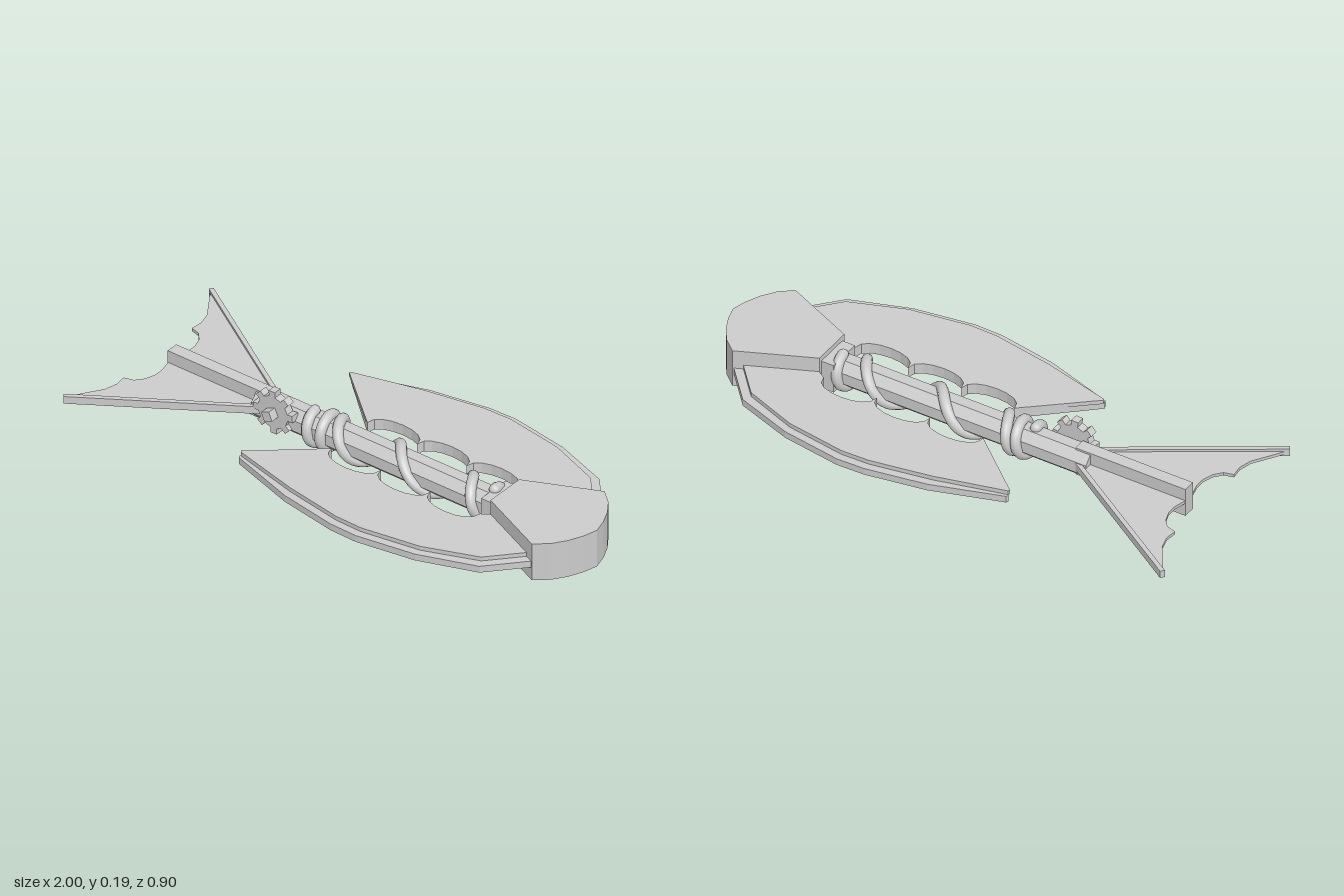
import * as THREE from 'three';

const material = new THREE.MeshStandardMaterial({ color: 0xcccccc, flatShading: true });
const smooth = new THREE.MeshStandardMaterial({ color: 0xcccccc });
const AXIS_Y = 0.08;

function add(parent, name, geometry, mat = material) {
  const mesh = new THREE.Mesh(geometry, mat);
  mesh.name = name;
  parent.add(mesh);
  return mesh;
}

function box(parent, name, x0, x1, y0, y1, halfZ) {
  const mesh = add(parent, name, new THREE.BoxGeometry(x1 - x0, y1 - y0, 2 * halfZ));
  mesh.position.set((x0 + x1) / 2, (y0 + y1) / 2, 0);
}

// Horizontal plate from [x, z] outline points, mirrored across the shaft when side is -1
function plate(parent, name, points, y0, y1, side = 1) {
  const shape = new THREE.Shape(points.map(([x, z]) => new THREE.Vector2(x, z * side)));
  const geometry = new THREE.ExtrudeGeometry(shape, { depth: y1 - y0, bevelEnabled: false });
  geometry.rotateX(Math.PI / 2).translate(0, y1, 0);
  add(parent, name, geometry);
}

// Blade outline: curved outer edge, scalloped inner edge
function bladeOutline(inset) {
  const outer = [[-0.305, 0.32], [-0.04, 0.405], [0.19, 0.445], [0.3, 0.448], [0.53, 0.412], [0.75, 0.335], [0.88, 0.19]];
  const points = [[-0.31, 0.31 - inset * 0.3]];
  outer.forEach(([x, z], i) => points.push([x - (i > 4 ? inset * 0.5 : 0), z - inset * (i ? 1 : 0.4)]));
  points.push([0.62, 0.07], [0.6, 0.08]);
  const steps = 8, width = 0.215;
  for (let s = 2; s >= 0; s--) {
    for (let i = s === 2 ? 0 : 1; i <= steps; i++) {
      const a = (Math.PI * i) / steps;
      points.push([-0.075 + width * (s + 0.5 + 0.5 * Math.cos(a)), 0.1 + 0.062 * Math.sin(a) ** 0.8]);
    }
  }
  return points;
}

// Path of the wrapped cord, tight near the gear and loose along the shaft
class CordCurve extends THREE.Curve {
  getPoint(t, target = new THREE.Vector3()) {
    const keys = [-0.225, -0.165, -0.115, 0.15, 0.46, 0.555];
    const turn = t * 5;
    const k = Math.min(4, Math.floor(turn));
    const f = turn - k;
    // Hermite spacing keeps the pitch changing gradually
    const slope = (i) => (keys[Math.min(5, i + 1)] - keys[Math.max(0, i - 1)]) / 2;
    const x = (2 * f ** 3 - 3 * f * f + 1) * keys[k] + (f ** 3 - 2 * f * f + f) * slope(k)
      + (3 * f * f - 2 * f ** 3) * keys[k + 1] + (f ** 3 - f * f) * slope(k + 1);
    const a = turn * Math.PI * 2;
    return target.set(x, AXIS_Y + 0.058 * Math.cos(a), 0.058 * Math.sin(a));
  }
}

export function createModel() {
  const model = new THREE.Group();
  model.name = 'bladedStaff';

  // Wedge-shaped head with a rounded nose
  const half = [[0.6, 0.08], [0.875, 0.203], [0.925, 0.16], [0.96, 0.11], [0.985, 0.055]];
  const head = [...half, [1, 0], ...half.slice().reverse().map(([x, z]) => [x, -z])];
  plate(model, 'head', head, 0.005, 0.155);

  // Eight-sided shaft, collar and rear bar
  const shaft = new THREE.CylinderGeometry(0.057, 0.057, 1.06, 8);
  shaft.rotateY(Math.PI / 8).rotateZ(Math.PI / 2).translate(0.07, AXIS_Y, 0);
  add(model, 'shaft', shaft);
  box(model, 'collar', 0.55, 0.605, 0.02, 0.135, 0.068);
  box(model, 'rearBar', -0.845, -0.4, 0.025, 0.138, 0.024);

  // Cord wrapped around the shaft, with rounded ends
  const cord = new CordCurve();
  add(model, 'cord', new THREE.TubeGeometry(cord, 200, 0.02, 10), smooth);
  for (const t of [0, 1]) {
    add(model, 'cordEnd', new THREE.SphereGeometry(0.02, 10, 8), smooth).position.copy(cord.getPoint(t));
  }

  for (const side of [1, -1]) {
    // Two-layer blade
    const blade = new THREE.Group();
    blade.name = side > 0 ? 'leftBlade' : 'rightBlade';
    plate(blade, 'bladeEdge', bladeOutline(0), 0.055, 0.081, side);
    plate(blade, 'bladeTop', bladeOutline(0.03), 0.081, 0.097, side);
    model.add(blade);

    // Webbed tail fin with an outer spar
    const fin = new THREE.Group();
    fin.name = side > 0 ? 'leftFin' : 'rightFin';
    plate(fin, 'finWeb', [
      [-0.43, 0.02], [-0.43, 0.05], [-0.995, 0.408], [-0.955, 0.345], [-0.915, 0.285], [-0.902, 0.235],
      [-0.907, 0.19], [-0.87, 0.18], [-0.845, 0.15], [-0.832, 0.11], [-0.832, 0.07], [-0.845, 0.02],
    ], 0.078, 0.09, side);
    plate(fin, 'finSpar', [[-0.42, 0.035], [-0.42, 0.055], [-0.99, 0.418], [-1, 0.404]], 0.07, 0.099, side);
    model.add(fin);
  }

  // Toothed gear with a square hub
  const gear = new THREE.Group();
  gear.name = 'gear';
  const outline = [];
  for (let i = 0; i < 8; i++) {
    for (const [offset, r] of [[-0.2, 0.065], [-0.16, 0.086], [0.16, 0.086], [0.2, 0.065]]) {
      const a = (i * Math.PI) / 4 + offset + 0.05;
      outline.push(new THREE.Vector2(r * Math.cos(a), r * Math.sin(a)));
    }
  }
  add(gear, 'gearWheel', new THREE.ExtrudeGeometry(new THREE.Shape(outline), { depth: 0.032, bevelEnabled: false }));
  const hub = add(gear, 'gearHub', new THREE.BoxGeometry(0.036, 0.036, 0.066));
  hub.position.z = 0.033;
  hub.rotation.z = 0.4;
  gear.position.set(-0.355, 0.111, 0.036);
  model.add(gear);

  return model;
}
